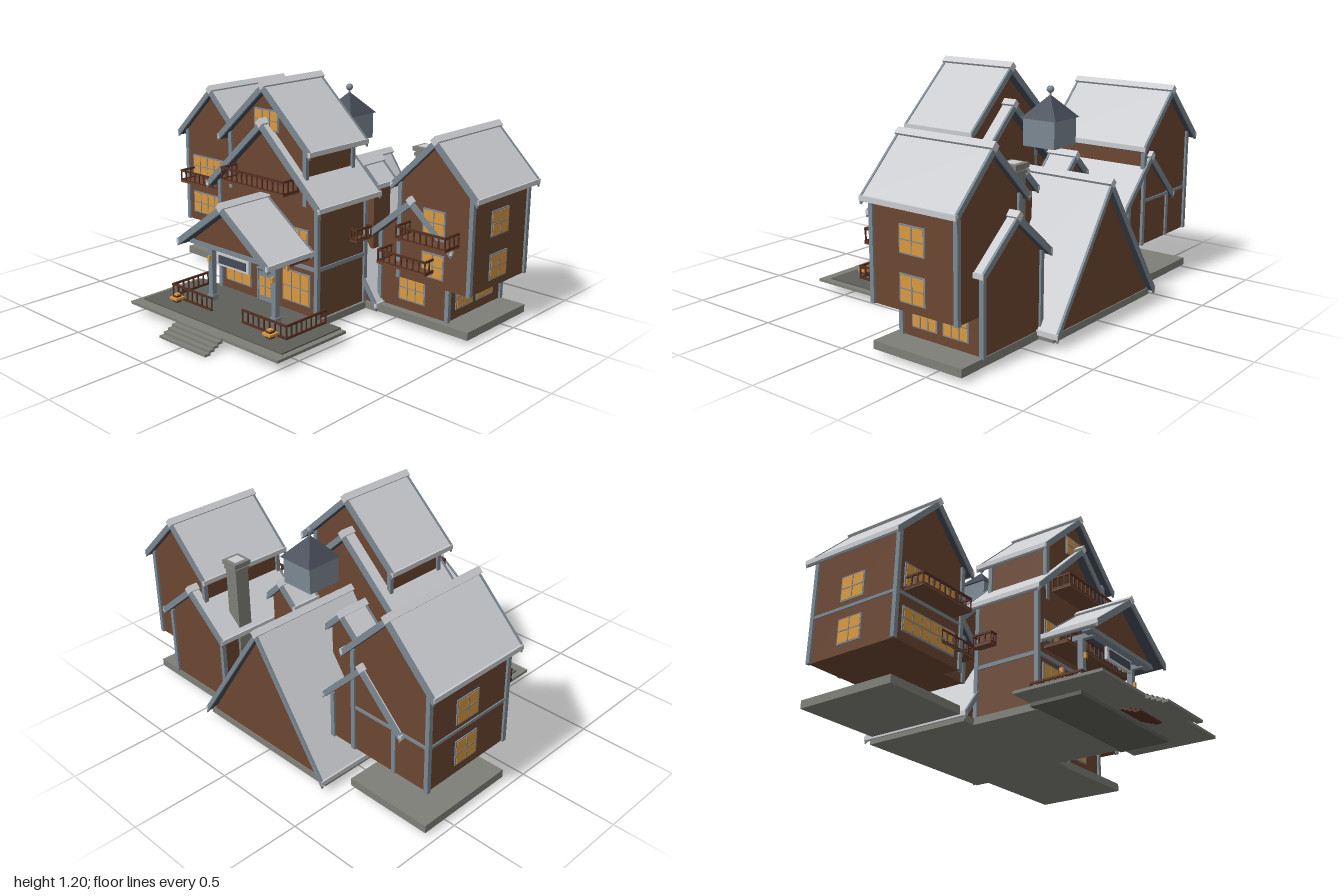
import * as THREE from 'three';

const mat = (name, color, side = THREE.FrontSide) => {
  const m = new THREE.MeshStandardMaterial({ color, side });
  m.name = name;
  return m;
};
const M = {
  wall: mat('brown timber wall', 0x6b4631),
  snow: mat('pale roof', 0xc9cbcf),
  slate: mat('dark slate', 0x444a57),
  trim: mat('blue grey trim', 0x7b8792),
  glow: mat('warm glass', 0xd9983e),
  rail: mat('dark red rail wood', 0x552f22),
  stone: mat('grey stone', 0x7f7f78),
  deck: mat('dark deck', 0x5e5f59),
};

export function createModel() {
  const root = new THREE.Group();
  root.name = 'lodge';

  const add = (name, geo, m, x = 0, y = 0, z = 0, parent = root) => {
    const mesh = new THREE.Mesh(geo, m);
    mesh.name = name;
    mesh.position.set(x, y, z);
    parent.add(mesh);
    return mesh;
  };
  // box given by its limits on each axis
  const box = (name, m, x0, x1, y0, y1, z0, z1, parent = root) =>
    add(name, new THREE.BoxGeometry(x1 - x0, y1 - y0, z1 - z0), m,
      (x0 + x1) / 2, (y0 + y1) / 2, (z0 + z1) / 2, parent);
  // outline in x,y pushed from z0 to z1
  const prism = (name, m, pts, z0, z1, x = 0, parent = root) => {
    const shape = new THREE.Shape(pts.map(p => new THREE.Vector2(p[0], p[1])));
    return add(name, new THREE.ExtrudeGeometry(shape, { depth: z1 - z0, bevelEnabled: false }), m, x, 0, z0, parent);
  };
  const group = (name) => {
    const g = new THREE.Group();
    g.name = name;
    root.add(g);
    return g;
  };

  // gabled roof: pale slab on a dark slab, trimmed at both ends, with a ridge cap
  function roof(name, cx, half, eave, apex, z0, z1) {
    const g = group(name);
    const chevron = (w, top, t) => {
      const e = apex - (apex - eave) * w / half;
      return [[-w, e + top - t], [0, apex + top - t], [w, e + top - t],
        [w, e + top], [0, apex + top], [-w, e + top]];
    };
    prism('roofTop', M.snow, chevron(half, 0, 0.022), z0 + 0.008, z1 - 0.008, cx, g);
    prism('roofUnderside', M.slate, chevron(half - 0.008, -0.022, 0.014), z0 + 0.008, z1 - 0.008, cx, g);
    for (const z of [z0, z1 - 0.012]) prism('rakeBoard', M.trim, chevron(half + 0.003, 0.004, 0.038), z, z + 0.012, cx, g);
    const cap = add('ridgeCap', new THREE.BoxGeometry(0.034, 0.034, z1 - z0 + 0.006), M.snow, cx, apex - 0.004, (z0 + z1) / 2, g);
    cap.rotation.z = Math.PI / 4;
    for (const s of [-1, 1]) {
      const x = cx + s * half;
      box('eaveBoard', M.snow, x - 0.008, x + 0.008, eave - 0.022, eave + 0.002, z0, z1, g);
    }
  }

  // gabled house body with corner posts, fitting under a roof
  function house(name, cx, w, y0, z0, z1, r) {
    const k = (r.apex - r.eave) / r.half, top = r.apex - 0.03;
    const side = top - k * w;
    prism(name + 'Walls', M.wall, [[-w, y0], [w, y0], [w, side], [0, top], [-w, side]], z0, z1, cx);
    for (const s of [-1, 1]) for (const z of [z0, z1])
      box('cornerPost', M.trim, cx + s * w - 0.011, cx + s * w + 0.011, y0, side - 0.005, z - 0.011, z + 0.011);
    roof(name + 'Roof', cx, r.half, r.eave, r.apex, r.z0, r.z1);
  }

  house('mainHall', 0, 0.335, 0.06, -0.15, 0.2, { half: 0.385, eave: 0.64, apex: 1.0, z0: -0.21, z1: 0.25 });
  house('upperTower', 0, 0.255, 0.62, -0.14, 0.195, { half: 0.31, eave: 0.895, apex: 1.18, z0: -0.19, z1: 0.235 });
  house('leftWing', -0.73, 0.22, 0.245, -0.635, -0.12, { half: 0.265, eave: 0.765, apex: 1.03, z0: -0.67, z1: -0.085 });
  house('leftAnnex', -0.565, 0.19, 0.246, -0.632, -0.21, { half: 0.238, eave: 0.475, apex: 0.71, z0: -0.655, z1: -0.175 });
  house('rightWing', 0.75, 0.205, 0.245, -0.635, -0.165, { half: 0.243, eave: 0.725, apex: 0.965, z0: -0.668, z1: -0.135 });
  house('rightAnnex', 0.61, 0.205, 0.065, -0.655, -0.2, { half: 0.24, eave: 0.45, apex: 0.65, z0: -0.69, z1: -0.15 });

  // rear A-frame reaching the ground
  prism('aFrameGable', M.wall, [[-0.4, 0.06], [0.4, 0.06], [0, 0.66]], -0.735, -0.17);
  roof('aFrameRoof', 0, 0.425, 0.075, 0.69, -0.77, -0.135);
  for (const s of [-1, 1]) {
    prism('dormerWalls', M.wall, [[-0.075, 0.3], [0.075, 0.3], [0.075, 0.64], [0, 0.71], [-0.075, 0.64]], -0.41, -0.28, s * 0.212);
    roof('dormerRoof', s * 0.212, 0.1, 0.645, 0.74, -0.432, -0.268);
  }

  // horizontal bands around the walls
  box('hallBand', M.trim, -0.342, 0.342, 0.308, 0.328, -0.155, 0.207);
  box('leftWingBand', M.trim, -0.956, -0.504, 0.467, 0.482, -0.641, -0.114);

  // cupola
  box('cupolaBody', M.trim, -0.09, 0.09, 0.82, 0.955, -0.5, -0.32);
  const cone = new THREE.ConeGeometry(0.1 * Math.SQRT2, 0.11, 4, 1).rotateY(Math.PI / 4).toNonIndexed();
  cone.computeVertexNormals();
  add('cupolaRoof', cone, M.slate, 0, 1.008, -0.412);
  add('finialRod', new THREE.CylinderGeometry(0.005, 0.005, 0.04, 8), M.trim, 0, 1.07, -0.412);
  add('finialBall', new THREE.SphereGeometry(0.018, 14, 10), M.trim, 0, 1.088, -0.412);

  // chimney
  box('chimneyShaft', M.stone, 0.388, 0.464, 0.06, 0.8, -0.556, -0.48);
  box('chimneyCollar', M.stone, 0.382, 0.47, 0.775, 0.79, -0.562, -0.474);
  box('chimneyCap', M.stone, 0.377, 0.475, 0.8, 0.822, -0.567, -0.469);
  box('chimneyMouth', M.snow, 0.396, 0.456, 0.822, 0.825, -0.548, -0.488);

  // foundations, porch deck and steps
  box('hallBase', M.stone, -0.35, 0.35, 0.03, 0.066, -0.2, 0.21);
  box('aFrameBase', M.stone, -0.42, 0.42, 0.03, 0.064, -0.74, -0.15);
  box('rightBase', M.stone, 0.38, 0.96, 0.03, 0.07, -0.66, -0.16);
  box('leftBase', M.stone, -0.96, -0.5, 0.03, 0.07, -0.65, -0.11);
  box('deckFooting', M.deck, -0.39, 0.39, 0.032, 0.05, 0.2, 0.47);
  box('deckEdge', M.stone, -0.52, 0.52, 0.05, 0.064, 0.2, 0.66);
  box('deckFloor', M.deck, -0.49, 0.49, 0.062, 0.071, 0.2, 0.602);
  for (let i = 0; i < 5; i++) {
    const z = 0.77 - i * 0.026, y = 0.004 + i * 0.012;
    box('frontStep', M.stone, -0.163, 0.163, y, y + 0.012, z - 0.032, z);
    if (i < 4) box('hiddenStep', M.rail, -0.1, 0.1, 0.018 + i * 0.009, 0.027 + i * 0.009, 0.56 - i * 0.024, 0.592 - i * 0.024);
  }

  // window: frame, glowing pane and glazing bars, facing +z before turning
  function windowAt(x, y, z, w, h, cols, rows, turn = 0) {
    const g = group('window');
    g.position.set(x, y, z);
    g.rotation.y = turn;
    box('frame', M.trim, -w / 2 - 0.007, w / 2 + 0.007, -h / 2 - 0.007, h / 2 + 0.007, -0.004, 0.004, g);
    box('glass', M.glow, -w / 2, w / 2, -h / 2, h / 2, 0.001, 0.006, g);
    for (let i = 1; i < cols; i++) add('bar', new THREE.BoxGeometry(0.005, h, 0.006), M.trim, -w / 2 + w * i / cols, 0, 0.005, g);
    for (let i = 1; i < rows; i++) add('bar', new THREE.BoxGeometry(w, 0.005, 0.006), M.trim, 0, -h / 2 + h * i / rows, 0.005, g);
  }
  const R = Math.PI / 2;
  for (const s of [-1, 1]) {
    windowAt(s * 0.203, 0.2, 0.203, 0.17, 0.15, 3, 2);
    windowAt(s * 0.225, 0.455, 0.203, 0.1, 0.09, 2, 2);
  }
  windowAt(0, 1.005, 0.198, 0.15, 0.09, 3, 2);
  for (const y of [0.57, 0.355]) {
    windowAt(-0.73, y, -0.117, 0.34, 0.11, 6, 2);
    windowAt(0.747, y - 0.005, -0.162, 0.115, 0.11, 2, 2);
    windowAt(0.957, y - 0.005, -0.395, 0.13, 0.115, 2, 2, R);
    windowAt(-0.952, y, -0.39, 0.13, 0.115, 2, 2, -R);
  }
  windowAt(-0.445, 0.355, -0.207, 0.11, 0.11, 2, 2);
  windowAt(0.605, 0.185, -0.197, 0.145, 0.12, 3, 2);
  for (const z of [-0.335, -0.51]) windowAt(0.817, 0.183, z, 0.13, 0.12, 3, 2, R);

  // railing along a straight run
  function railing(g, x0, z0, x1, z1, y, h) {
    const len = Math.hypot(x1 - x0, z1 - z0), n = Math.max(2, Math.round(len / 0.035));
    for (const ry of [y + 0.006, y + h - 0.005]) {
      const bar = add('rail', new THREE.BoxGeometry(len + 0.008, 0.01, 0.009), M.rail, (x0 + x1) / 2, ry, (z0 + z1) / 2, g);
      bar.rotation.y = Math.atan2(z0 - z1, x1 - x0);
    }
    for (let i = 0; i <= n; i++)
      add('baluster', new THREE.BoxGeometry(0.006, h, 0.006), M.rail, x0 + (x1 - x0) * i / n, y + h / 2, z0 + (z1 - z0) * i / n, g);
  }
  // balcony projecting towards +z before turning
  function balcony(x, y, z, w, d, h, turn = 0) {
    const g = group('balcony');
    g.position.set(x, y, z);
    g.rotation.y = turn;
    box('balconyFloor', M.wall, -w / 2, w / 2, 0, 0.012, 0, d, g);
    const e = w / 2 - 0.004, f = d - 0.005;
    railing(g, -e, f, e, f, 0.006, h);
    railing(g, -e, 0.004, -e, f, 0.006, h);
    railing(g, e, 0.004, e, f, 0.006, h);
  }
  balcony(0, 0.68, 0.2, 0.43, 0.108, 0.07);
  balcony(0, 0.357, 0.2, 0.56, 0.13, 0.068);
  balcony(-0.73, 0.49, -0.12, 0.34, 0.11, 0.065);
  balcony(-0.53, 0.33, -0.21, 0.235, 0.102, 0.065);
  balcony(0.61, 0.315, -0.2, 0.29, 0.112, 0.068);
  balcony(0.745, 0.472, -0.165, 0.29, 0.115, 0.068);
  for (const s of [-1, 1]) balcony(s * 0.335, 0.41, -0.095, 0.115, 0.045, 0.06, s * R);

  // porch roof, gable, posts and beams
  roof('porchRoof', 0, 0.31, 0.41, 0.635, 0.2, 0.517);
  prism('porchGable', M.wall, [[-0.26, 0.405], [0.26, 0.405], [0, 0.598]], 0.42, 0.455);
  box('porchBeam', M.trim, -0.285, 0.285, 0.382, 0.405, 0.415, 0.46);
  for (const s of [-1, 1]) {
    box('sideBeam', M.trim, s * 0.222 - 0.012, s * 0.222 + 0.012, 0.375, 0.4, 0.2, 0.44);
    box('porchPost', M.trim, s * 0.222 - 0.014, s * 0.222 + 0.014, 0.07, 0.39, 0.356, 0.384);
    box('postFoot', M.trim, s * 0.222 - 0.02, s * 0.222 + 0.02, 0.07, 0.1, 0.35, 0.39);
    box('wallLamp', M.glow, s * 0.15 - 0.007, s * 0.15 + 0.007, 0.275, 0.3, 0.2, 0.22);
    box('postLamp', M.glow, s * 0.222 - 0.007, s * 0.222 + 0.007, 0.28, 0.308, 0.384, 0.396);

    // porch railings and deck lanterns
    const g = group('porchRailing');
    railing(g, s * 0.11, 0.48, s * 0.4, 0.48, 0.07, 0.072);
    railing(g, s * 0.4, 0.21, s * 0.4, 0.48, 0.07, 0.072);
    box('lanternFoot', M.rail, s * 0.33 - 0.015, s * 0.33 + 0.015, 0.07, 0.086, 0.5, 0.53);
    box('lanternTray', M.glow, s * 0.33 - 0.027, s * 0.33 + 0.027, 0.086, 0.098, 0.488, 0.542);
    box('lanternCore', M.rail, s * 0.33 - 0.015, s * 0.33 + 0.015, 0.098, 0.106, 0.5, 0.53);
    box('lanternTop', M.glow, s * 0.33 - 0.012, s * 0.33 + 0.012, 0.106, 0.114, 0.503, 0.527);
  }

  // front door and blank name board
  box('doorFrame', M.trim, -0.068, 0.068, 0.07, 0.245, 0.2, 0.209);
  box('doorLeaf', M.slate, -0.055, 0.055, 0.07, 0.235, 0.205, 0.212);
  box('doorPanel', M.trim, -0.05, 0.05, 0.074, 0.23, 0.207, 0.214);
  windowAt(0, 0.155, 0.213, 0.075, 0.1, 2, 2);
  box('boardFrame', M.snow, -0.112, 0.112, 0.305, 0.368, 0.425, 0.44);
  box('boardPlate', M.slate, -0.095, 0.095, 0.316, 0.357, 0.437, 0.443);

  return root;
}
